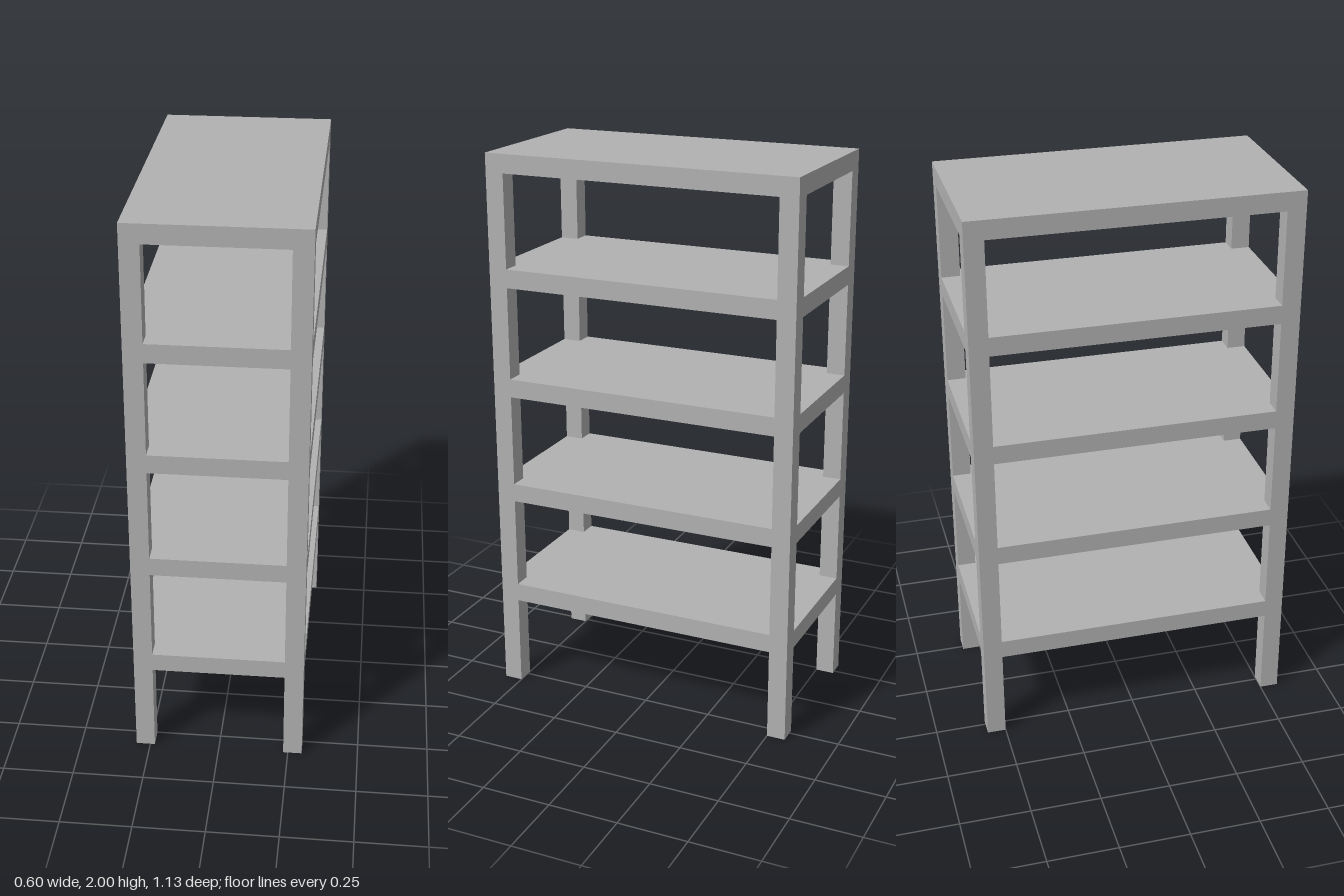
import * as THREE from 'three';

const HALF_W = 0.3, HALF_D = 0.567, HEIGHT = 2;
const T = 0.0667; // post width and shelf thickness
const SHELF_TOPS = [0.4, 0.8, 1.2, 1.6, 2];

// Board outline with a notch at each corner for the posts
function shelfGeometry() {
  const x = HALF_W, z = HALF_D, xi = x - T, zi = z - T;
  const outline = [
    [xi, -z], [xi, -zi], [x, -zi], [x, zi], [xi, zi], [xi, z],
    [-xi, z], [-xi, zi], [-x, zi], [-x, -zi], [-xi, -zi], [-xi, -z],
  ].map(([a, b]) => new THREE.Vector2(a, b));
  const geometry = new THREE.ExtrudeGeometry(new THREE.Shape(outline), { depth: T, bevelEnabled: false });
  return geometry.rotateX(-Math.PI / 2); // bottom at y = 0, top at y = T
}

export function createModel() {
  const model = new THREE.Group();
  model.name = 'shelvingUnit';
  const grey = new THREE.MeshStandardMaterial({ color: 0xb2b2b2 });
  grey.name = 'grey';

  // Four corner posts
  const postGeometry = new THREE.BoxGeometry(T, HEIGHT, T);
  for (const sx of [1, -1]) {
    for (const sz of [1, -1]) {
      const post = new THREE.Mesh(postGeometry, grey);
      post.name = (sz > 0 ? 'front' : 'back') + (sx > 0 ? 'Left' : 'Right') + 'Post';
      post.position.set(sx * (HALF_W - T / 2), HEIGHT / 2, sz * (HALF_D - T / 2));
      model.add(post);
    }
  }

  // Shelves fitted flush between the posts
  const boardGeometry = shelfGeometry();
  SHELF_TOPS.forEach((top, i) => {
    const shelf = new THREE.Mesh(boardGeometry, grey);
    shelf.name = i === SHELF_TOPS.length - 1 ? 'topShelf' : `shelf${i + 1}`;
    shelf.position.y = top - T;
    model.add(shelf);
  });

  return model;
}
